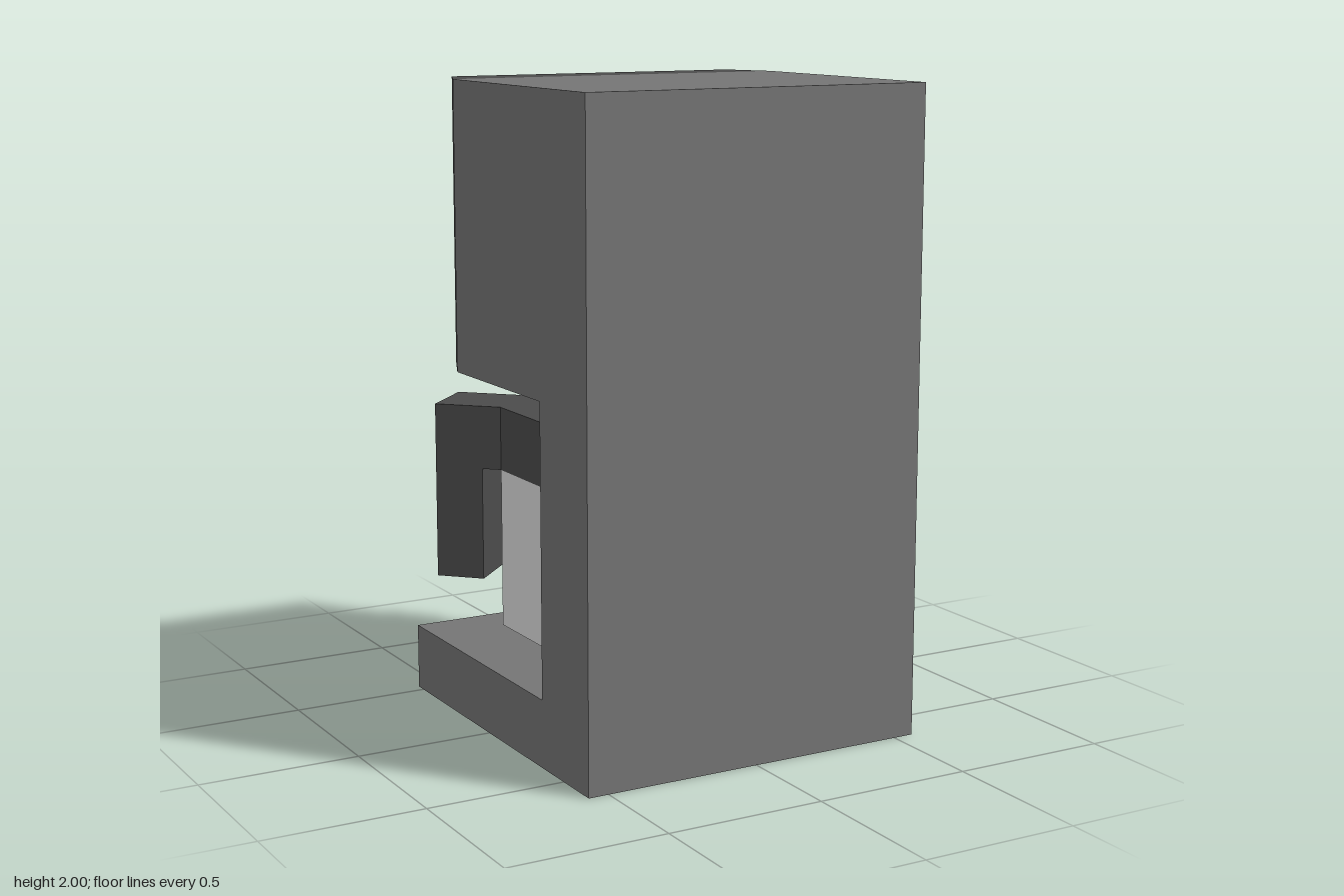
import * as THREE from 'three';

const mat = (name, color) => {
  const m = new THREE.MeshStandardMaterial({ color });
  m.name = name;
  return m;
};

// Closed outline from [x, y] pairs
const outline = (points) => new THREE.Shape(points.map(([x, y]) => new THREE.Vector2(x, y)));

const extrude = (points, depth) =>
  new THREE.ExtrudeGeometry(outline(points), { depth, bevelEnabled: false });

// Upright prism from a floor plan of [x, z] pairs
const prism = (plan, y0, y1) =>
  extrude(plan.map(([x, z]) => [x, -z]), y1 - y0).rotateX(-Math.PI / 2).translate(0, y0, 0);

export function createModel() {
  const body = mat('body grey', 0x757575);
  const dark = mat('dark grey', 0x4b4b4b);
  const glass = mat('pale glass', 0xdedede);
  const green = mat('button green', 0x72aa6e);

  const model = new THREE.Group();
  model.name = 'coffeeMachine';
  const add = (name, geometry, material, parent = model) => {
    const mesh = new THREE.Mesh(geometry, material);
    mesh.name = name;
    parent.add(mesh);
    return mesh;
  };

  // Housing: C-shaped side profile ([-z, y]) extruded across the width
  const W = 0.565;
  add('housing', extrude([
    [-0.655, 0], [0.535, 0], [0.535, 0.21], [-0.365, 0.21],
    [-0.365, 1.105], [0.195, 1.105], [0.195, 2], [-0.655, 2],
  ], 2 * W).rotateY(Math.PI / 2).translate(-W, 0, 0), body);

  // Tapered panel closing the brewing head
  add('headPanel', prism([[-W, -0.195], [W, -0.195], [0.495, -0.355], [-0.495, -0.355]], 1.105, 2), dark);

  // Button: dark block, sloped green rim, grey cap face
  const button = new THREE.Group();
  button.name = 'button';
  button.position.set(0.33, 1.33, 0);
  model.add(button);
  add('buttonBase', new THREE.BoxGeometry(0.26, 0.23, 0.085).translate(0, 0, -0.3975), dark, button);
  const rim = new THREE.BoxGeometry(0.26, 0.23, 0.045).translate(0, 0, -0.4625);
  const p = rim.attributes.position;
  for (let i = 0; i < p.count; i++) {
    if (p.getZ(i) < -0.47) p.setXY(i, Math.sign(p.getX(i)) * 0.095, Math.sign(p.getY(i)) * 0.08);
  }
  rim.computeVertexNormals();
  add('buttonRim', rim, [green, green, green, green, green, body], button);

  // Jug: rectangle with cut corners
  const jug = new THREE.Group();
  jug.name = 'jug';
  model.add(jug);
  const [x0, x1, z0, z1, c] = [-0.35, 0.45, -0.495, 0.255, 0.155];
  const plan = [
    [x0 + c, z0], [x1 - c, z0], [x1, z0 + c], [x1, z1 - c],
    [x1 - c, z1], [x0 + c, z1], [x0, z1 - c], [x0, z0 + c],
  ];
  add('jugGlass', prism(plan, 0.23, 0.745), glass, jug);
  add('jugLid', prism(plan, 0.745, 0.95), dark, jug);

  // Handle: L profile standing off the cut corner
  const w = c * Math.SQRT2;
  const handle = add('jugHandle', extrude([
    [0, 0.95], [0, 0.745], [0.064, 0.745], [0.064, 0.38], [0.222, 0.38], [0.222, 0.95],
  ], w).translate(0, 0, -w / 2), dark, jug);
  handle.rotation.y = Math.PI * 0.75;
  handle.position.set(x0 + c / 2, 0, z0 + c / 2);

  return model;
}
